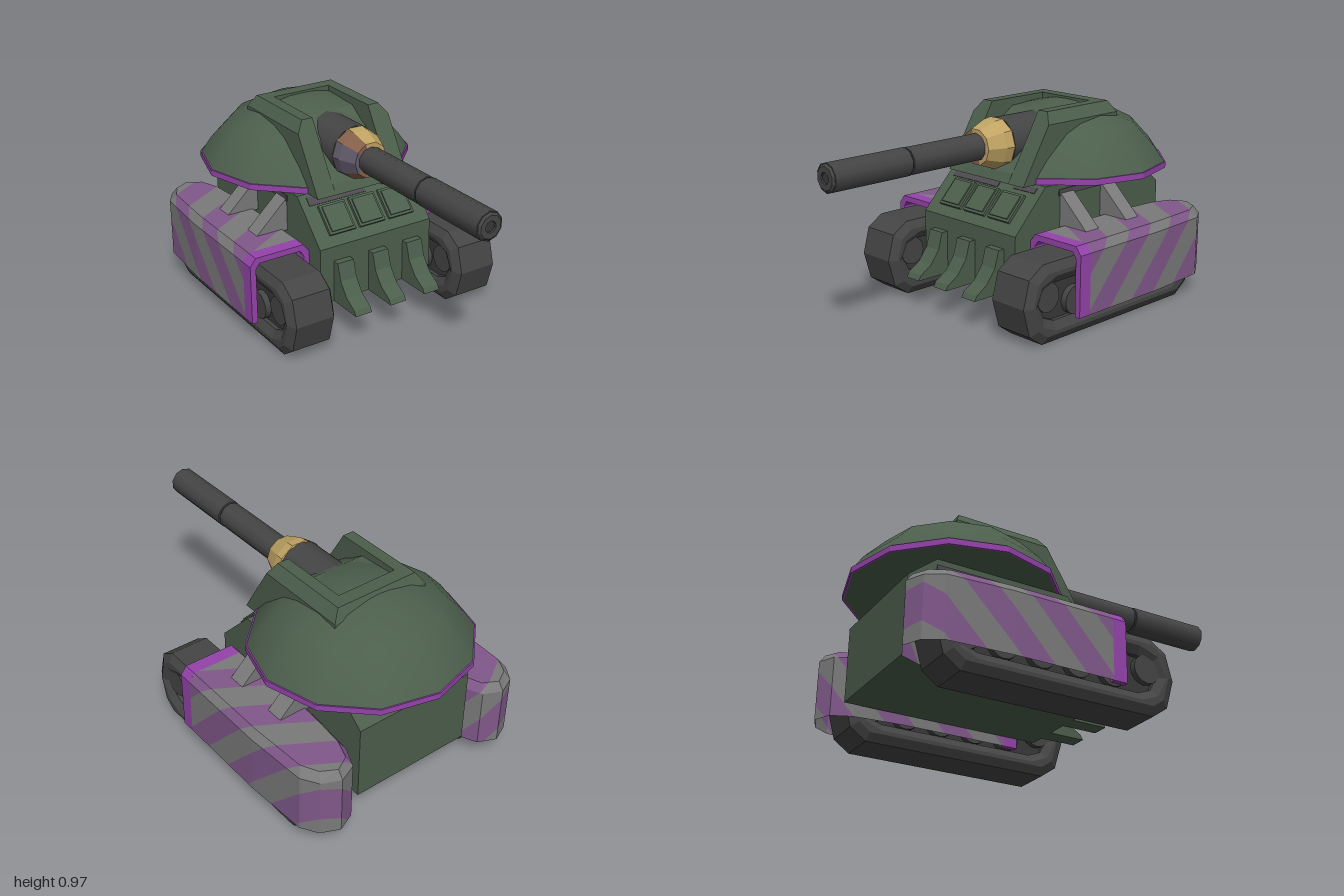
import * as THREE from 'three';

const mat = (name, color, side = THREE.FrontSide) => {
  const m = new THREE.MeshStandardMaterial({ color, side });
  m.name = name;
  return m;
};

export function createModel() {
  const root = new THREE.Group();
  const green = mat('armour green', 0x4c5e4c);
  const dark = mat('gunmetal', 0x454545);
  const wheelDark = mat('wheel grey', 0x383838);
  const gray = mat('plate grey', 0x7a7a7a, THREE.DoubleSide);
  const mauve = mat('faded purple', 0x80588a, THREE.DoubleSide);
  const purple = mat('trim purple', 0x9443aa);
  const gold = mat('brass', 0xc0a363);
  const brown = mat('copper', 0x85604a);
  const slate = mat('burnt steel', 0x625a6a);
  const stain = mat('soot', 0x4d4a50);

  const add = (name, geo, material, x = 0, y = 0, z = 0) => {
    const m = new THREE.Mesh(geo, material);
    m.name = name;
    m.position.set(x, y, z);
    root.add(m);
    return m;
  };
  const shapeOf = (pts) => new THREE.Shape(pts.map((p) => new THREE.Vector2(...p)));
  // Side profile of [z, y] points, extruded across x
  const slab = (pts, x0, x1) => new THREE.ExtrudeGeometry(shapeOf(pts), { depth: x1 - x0, bevelEnabled: false })
    .rotateY(-Math.PI / 2).translate(x1, 0, 0);
  const flat = (geo) => {
    const g = geo.toNonIndexed();
    g.computeVertexNormals();
    return g;
  };
  const lathe = (pts, n, start = 0, len = Math.PI * 2) =>
    new THREE.LatheGeometry(pts.map((p) => new THREE.Vector2(...p)), n, start, len);
  const rod = (r, z0, z1, n = 10) =>
    new THREE.CylinderGeometry(r, r, z1 - z0, n).rotateX(Math.PI / 2).translate(0, 0, (z0 + z1) / 2);

  // Hull
  add('hull', slab([[0.17, 0.15], [0.17, 0.44], [-0.03, 0.645], [-0.72, 0.645], [-0.86, 0.53], [-0.86, 0.15]], -0.32, 0.32), green);

  // Raised hatches and soot marks on the sloping front
  const tilt = -0.773;
  const onSlope = (name, w, h, d, material, x, y) => {
    add(name, new THREE.BoxGeometry(w, h, d), material, x, y, 0.17 - (y - 0.44) * 0.976).rotation.x = tilt;
  };
  for (const x of [-0.17, 0, 0.17]) {
    onSlope('hatchFrame', 0.145, 0.155, 0.03, green, x, 0.535);
    onSlope('hatchPanel', 0.12, 0.13, 0.045, green, x, 0.535);
  }
  onSlope('frontSoot', 0.32, 0.045, 0.008, stain, -0.12, 0.615);
  onSlope('frontSoot', 0.14, 0.03, 0.008, stain, 0.21, 0.62);

  // Curved ramming teeth
  for (const x of [-0.2, 0, 0.2]) {
    add('tooth', slab([[0.16, 0.15], [0.26, 0.15], [0.36, 0.15], [0.345, 0.175], [0.28, 0.215], [0.23, 0.28],
      [0.205, 0.365], [0.16, 0.365]], x - 0.045, x + 0.045), green);
  }

  // Turret dome and its rim
  const profile = [[0.535, 0.672], [0.48, 0.75], [0.375, 0.86], [0.22, 0.935], [0.08, 0.962], [0, 0.965]];
  const squash = (g) => g.scale(1, 1, 0.963).translate(0, 0, -0.48);
  add('turretDome', squash(lathe(profile, 12)), green);
  add('turretRim', squash(flat(lathe([[0.53, 0.645], [0.54, 0.645], [0.54, 0.675], [0.53, 0.675]], 12))), purple);
  add('turretUnderside', squash(flat(lathe([[0, 0.646], [0.535, 0.646]], 12))), green);

  // Gun housing: two cheeks, a rear bar and a sunken sloping floor
  const block = (name, x0, x1) => {
    add(name, slab([[0.06, 0.645], [-0.108, 0.92], [-0.6, 0.92], [-0.6, 0.645]], x0, x1), green);
    const top = slab([[-0.108, 0.92], [-0.14, 0.975], [-0.57, 0.975], [-0.6, 0.92]], x0, x1);
    const p = top.attributes.position;
    for (let i = 0; i < p.count; i++) {
      if (p.getY(i) > 0.95 && Math.abs(p.getX(i)) > 0.25) p.setX(i, Math.sign(p.getX(i)) * 0.22);
    }
    top.computeVertexNormals();
    add(name + 'Top', top, green);
  };
  block('leftCheek', 0.16, 0.26);
  block('rightCheek', -0.26, -0.16);
  add('housingRearBar', slab([[-0.5, 0.7], [-0.5, 0.975], [-0.57, 0.975], [-0.6, 0.92], [-0.6, 0.7]], -0.16, 0.16), green);
  add('housingFloor', slab([[0.06, 0.645], [0.035, 0.69], [-0.1, 0.81], [-0.28, 0.935], [-0.5, 0.945], [-0.5, 0.645]], -0.16, 0.16), green);

  // Gun
  const gunY = 0.808;
  add('gunRoot', rod(0.128, -0.4, -0.02, 12), dark, 0, gunY);
  add('barrelRear', rod(0.068, 0.05, 0.553), dark, 0, gunY);
  add('barrelGroove', rod(0.06, 0.55, 0.57), wheelDark, 0, gunY);
  add('barrelFront', rod(0.07, 0.563, 0.99), dark, 0, gunY);
  add('muzzle', flat(lathe([[0.07, 0.985], [0.055, 1], [0.028, 1], [0.022, 0.97], [0, 0.97]], 10).rotateX(Math.PI / 2)), dark, 0, gunY);
  add('bore', new THREE.CircleGeometry(0.025, 10), wheelDark, 0, gunY, 0.993);
  const collar = [[0.115, -0.035], [0.13, -0.015], [0.124, 0.03], [0.09, 0.12], [0.064, 0.12]];
  const step = Math.PI / 5;
  [[0.5, 5, gold], [5.5, 1, brown], [6.5, 2, slate], [8.5, 2, brown]].forEach(([first, n, m]) => {
    add('gunCollar', flat(lathe(collar, n, first * step, n * step).rotateX(Math.PI / 2)), m, 0, gunY);
  });

  // Keep the part of a polygon where the field lies between lo and hi
  const clip = (poly, f) => poly.flatMap((a, i) => {
    const b = poly[(i + 1) % poly.length], fa = f(a), fb = f(b);
    const out = fa >= 0 ? [a] : [];
    if (fa * fb < 0) out.push(a.clone().lerp(b, fa / (fa - fb)));
    return out;
  });
  const between = (poly, f, lo, hi) => clip(clip(poly, (p) => f(p) - lo), (p) => hi - f(p));
  const fan = (polys) => {
    const pts = [];
    for (const q of polys) for (let i = 1; i < q.length - 1; i++) pts.push(q[0], q[i], q[i + 1]);
    const g = new THREE.BufferGeometry().setFromPoints(pts);
    g.computeVertexNormals();
    return g;
  };

  // Fender plan outline [x, z], running from the outer front to the inner front
  const plan = [[0.64, 0], [0.64, -0.5], [0.62, -0.82], [0.57, -0.9], [0.48, -0.94], [0.39, -0.9],
    [0.345, -0.8], [0.322, -0.55], [0.32, 0]];
  const inset = ([x, z]) => [0.48 + (x - 0.48) * 0.81, z < -0.7 ? z + 0.03 : z];
  const stripeField = (p) => -p.z - 0.9 * (p.y - 0.1) - 0.6 * (0.64 - Math.abs(p.x));
  const arch = [[0.64, 0.1], [0.64, 0.4], [0.61, 0.44], [0.35, 0.44], [0.32, 0.4], [0.32, 0.1], [0.35, 0.1],
    [0.35, 0.38], [0.37, 0.41], [0.59, 0.41], [0.61, 0.38], [0.61, 0.1]];

  // Track outline [z, y]
  const loop = [[0.37, 0.2], [0.335, 0.33], [0.25, 0.385], [-0.72, 0.385], [-0.8, 0.33], [-0.84, 0.2],
    [-0.8, 0.06], [-0.72, 0.003], [0.25, 0.003], [0.33, 0.06]];
  const inner = loop.map(([z, y]) => [-0.235 + (z + 0.235) * 0.84, 0.193 + (y - 0.193) * 0.48]);

  for (const s of [-1, 1]) {
    const side = s > 0 ? 'left' : 'right';

    // Striped fender shell
    const v = ([x, z], y) => new THREE.Vector3(s * x, y, z);
    const faces = [plan.map((p) => v(inset(p), 0.44))];
    for (let i = 0; i < plan.length - 1; i++) {
      const a = plan[i], b = plan[i + 1];
      faces.push([v(a, 0.1), v(b, 0.1), v(b, 0.4), v(a, 0.4)]);
      faces.push([v(a, 0.4), v(b, 0.4), v(inset(b), 0.44), v(inset(a), 0.44)]);
    }
    if (s < 0) faces.forEach((q) => q.reverse());
    const bands = { gray: [], mauve: [] };
    for (const q of faces) {
      for (let k = -3; k < 4; k++) {
        const lo = -0.02 + k * 0.32;
        bands.mauve.push(between(q, stripeField, lo, lo + 0.16));
        bands.gray.push(between(q, stripeField, lo + 0.16, lo + 0.32));
      }
    }
    add(side + 'FenderPlate', fan(bands.gray), gray);
    add(side + 'FenderStripes', fan(bands.mauve), mauve);
    add(side + 'FenderArch', new THREE.ExtrudeGeometry(shapeOf(arch.map(([x, y]) => [s * x, y])),
      { depth: 0.07, bevelEnabled: false }), purple);

    // Track belt, inner plate and wheels
    const belt = shapeOf(loop);
    belt.holes.push(shapeOf(inner));
    const beltGeo = new THREE.ExtrudeGeometry(belt, {
      depth: 0.2, bevelThickness: 0.025, bevelSize: 0.04, bevelOffset: -0.04, bevelSegments: 1,
    }).rotateY(-Math.PI / 2).translate(0.1, 0, 0);
    add(side + 'TrackBelt', beltGeo, dark, s * 0.475);
    add(side + 'TrackCore', slab(loop.map(([z, y]) => [-0.235 + (z + 0.235) * 0.93, 0.193 + (y - 0.193) * 0.8]), -0.08, 0.08), wheelDark, s * 0.475);
    for (let i = 0; i < 6; i++) {
      add(side + 'Wheel', new THREE.CylinderGeometry(0.07, 0.07, 0.22, 16).rotateZ(Math.PI / 2), dark,
        s * 0.475, i ? 0.17 : 0.225, 0.22 - i * 0.185);
    }

    // Struts from hull to fender, and soot along the hull side
    for (const z of [-0.175, -0.465]) {
      const tri = shapeOf([[s * 0.31, 0.43], [s * 0.5, 0.43], [s * 0.31, 0.61]]);
      add(side + 'Strut', new THREE.ExtrudeGeometry(tri, { depth: 0.09, bevelEnabled: false }), gray, 0, 0, z - 0.045);
    }
    add(side + 'Soot', new THREE.BoxGeometry(0.008, 0.03, 0.6), stain, s * 0.321, 0.6, -0.42);
  }
  return root;
}
